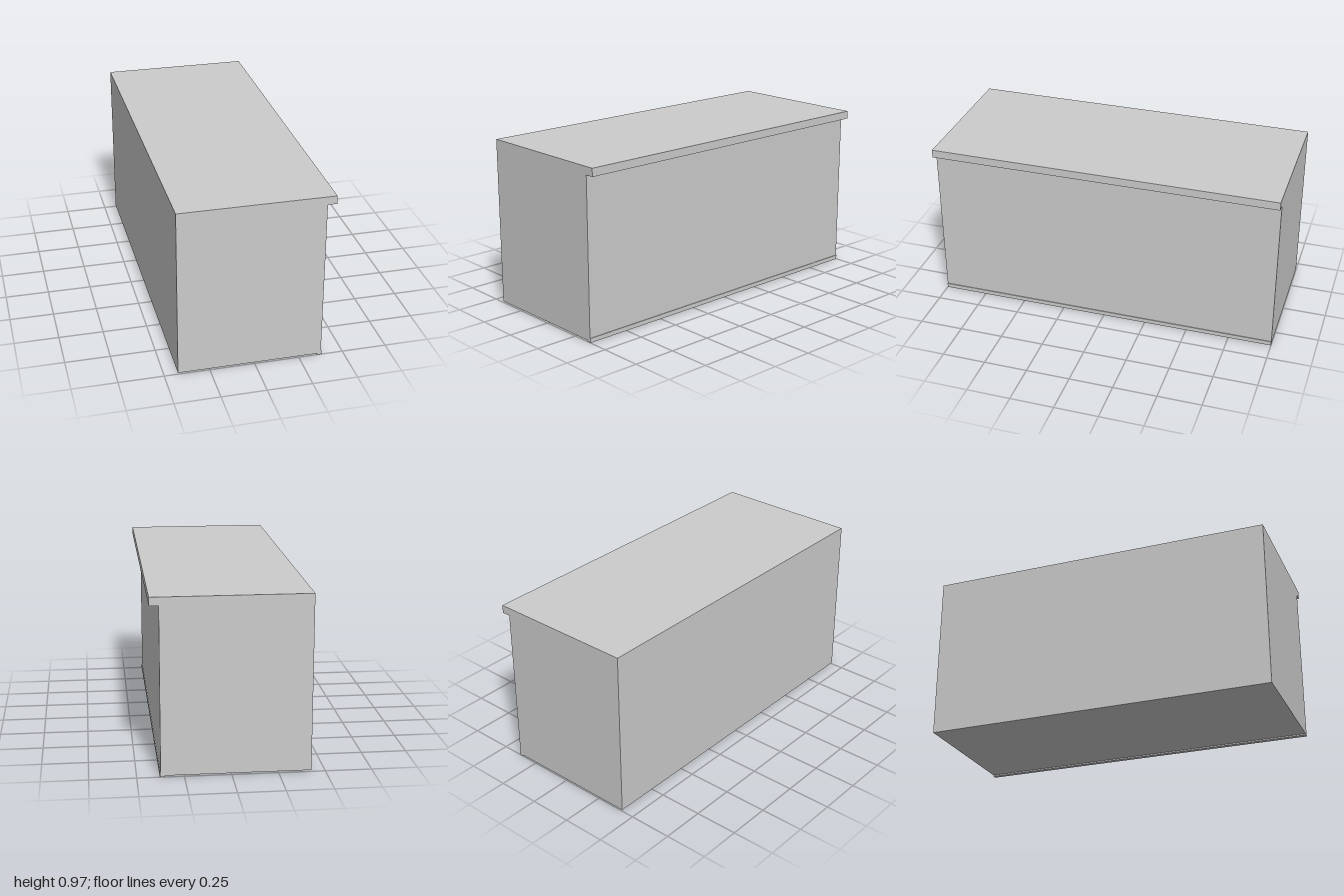
import * as THREE from 'three';

const LENGTH = 2;

export function createModel() {
  const group = new THREE.Group();
  const material = new THREE.MeshStandardMaterial({ color: 0xcccccc, flatShading: true });

  // Extrudes an x-y profile along the full length, centred on z = 0
  function addProfile(name, points) {
    const shape = new THREE.Shape(points.map(([x, y]) => new THREE.Vector2(x, y)));
    const geometry = new THREE.ExtrudeGeometry(shape, { depth: LENGTH, bevelEnabled: false });
    geometry.translate(0, 0, -LENGTH / 2);
    const mesh = new THREE.Mesh(geometry, material);
    mesh.name = name;
    group.add(mesh);
  }

  // Main block
  addProfile('body', [[-0.425, 0.008], [0.375, 0.008], [0.375, 0.923], [-0.425, 0.923]]);

  // Top slab overhanging the left side
  addProfile('topSlab', [[-0.425, 0.923], [0.425, 0.923], [0.425, 0.969], [-0.425, 0.969]]);

  // Thin angle strip wrapping the lower left edge
  addProfile('edgeStrip', [
    [0.353, 0], [0.379, 0], [0.379, 0.025], [0.375, 0.025], [0.375, 0.008], [0.353, 0.008],
  ]);

  return group;
}
